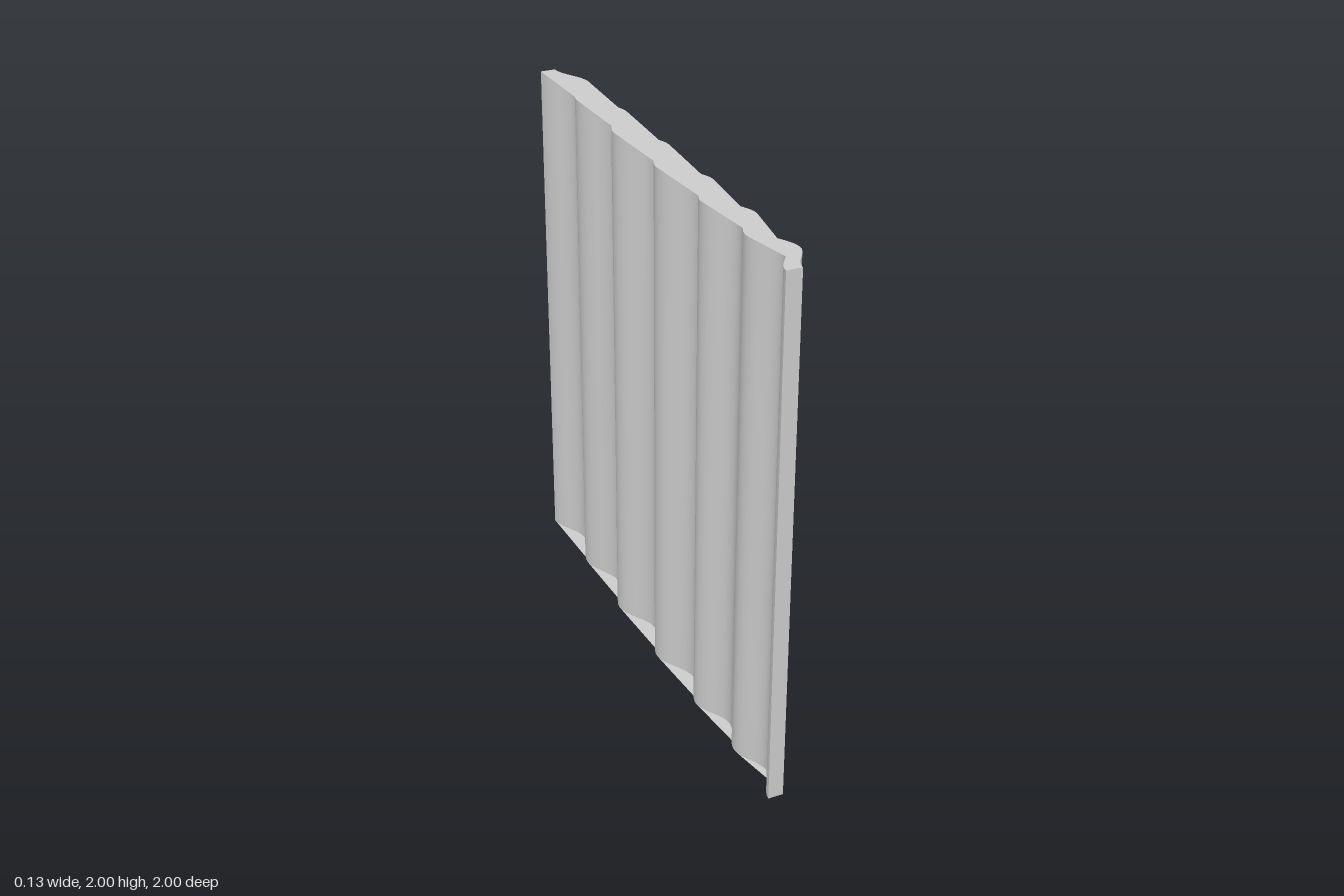
import * as THREE from 'three';
import { toCreasedNormals } from 'three/addons/utils/BufferGeometryUtils.js';

const HEIGHT = 2;
const THICKNESS = 0.057;
const STEPS = 8;

// Alternating valleys and ridges of the left face as [x, z], front to back.
const turns = [
  [0, 1], [0.063, 0.86], [0.01, 0.715], [0.063, 0.567], [0.001, 0.41],
  [0.063, 0.258], [-0.007, 0.08], [0.063, -0.095], [-0.008, -0.28],
  [0.063, -0.46], [0.002, -0.64], [0.063, -0.82], [0, -1],
];

// Smooth wave through the turning points
function wave() {
  const points = [turns[0]];
  for (let i = 1; i < turns.length; i++) {
    const [x0, z0] = turns[i - 1];
    const [x1, z1] = turns[i];
    for (let s = 1; s <= STEPS; s++) {
      const t = s / STEPS;
      const ease = (1 - Math.cos(Math.PI * t)) / 2;
      points.push([x0 + (x1 - x0) * ease, z0 + (z1 - z0) * t]);
    }
  }
  return points;
}

function fromTriangles(corners) {
  const geometry = new THREE.BufferGeometry();
  geometry.setAttribute('position', new THREE.Float32BufferAttribute(corners.flat(), 3));
  geometry.computeVertexNormals();
  return geometry;
}

export function createModel() {
  const model = new THREE.Group();
  const material = new THREE.MeshStandardMaterial({ color: 0xcccccc, side: THREE.DoubleSide });
  const add = (name, geometry) => {
    const mesh = new THREE.Mesh(geometry, material);
    mesh.name = name;
    model.add(mesh);
  };

  // Closed outline: left face to the back, right face to the front
  const left = wave();
  const right = left.map(([x, z]) => [x - THICKNESS, z]).reverse();
  const outline = [...left, ...right];
  const edges = outline.map((point, i) => [point, outline[(i + 1) % outline.length]]);

  // Corrugated faces and the two narrow ends
  const walls = edges.flatMap(([[ax, az], [bx, bz]]) => [
    [ax, 0, az], [bx, 0, bz], [bx, HEIGHT, bz],
    [ax, 0, az], [bx, HEIGHT, bz], [ax, HEIGHT, az],
  ]);
  add('corrugatedWalls', toCreasedNormals(fromTriangles(walls), 0.7));

  // Flat caps fanned from the front end, bridging the valleys
  for (const [name, y] of [['topCap', HEIGHT], ['bottomCap', 0]]) {
    const fan = edges.flatMap(([[ax, az], [bx, bz]]) => [[0, y, 0.96], [ax, y, az], [bx, y, bz]]);
    add(name, fromTriangles(fan));
  }
  return model;
}
